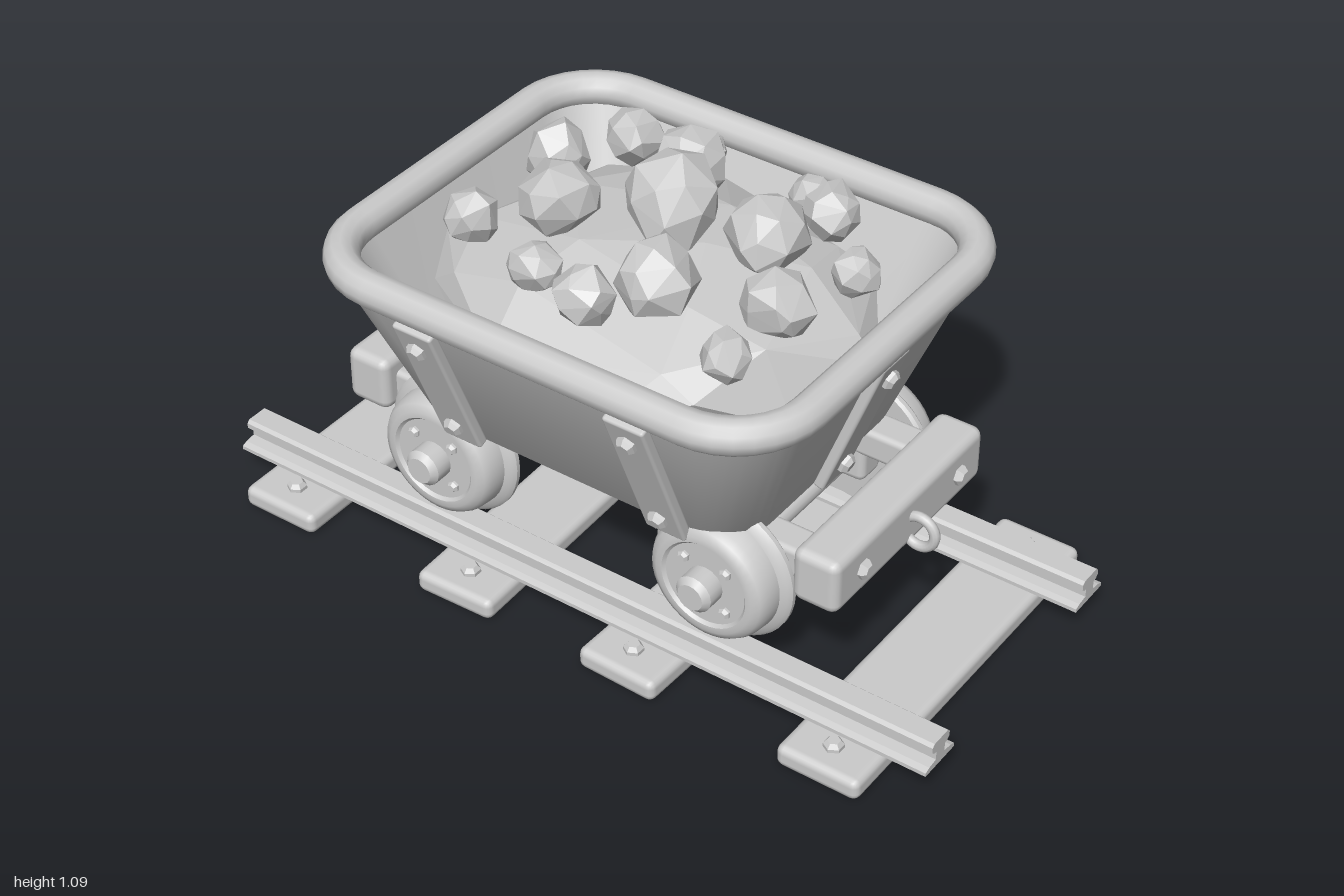
import * as THREE from 'three';
import { toCreasedNormals } from 'three/addons/utils/BufferGeometryUtils.js';
import { RoundedBoxGeometry } from 'three/addons/geometries/RoundedBoxGeometry.js';
import { ConvexGeometry } from 'three/addons/geometries/ConvexGeometry.js';

const smooth = new THREE.MeshStandardMaterial({ color: 0xcccccc });
const faceted = new THREE.MeshStandardMaterial({ color: 0xcccccc, flatShading: true });

let seed = 7;
const rand = () => (seed = (seed * 16807) % 2147483647) / 2147483647;

function add(parent, name, geometry, x = 0, y = 0, z = 0, material = smooth) {
  const mesh = new THREE.Mesh(geometry, material);
  mesh.name = name;
  mesh.position.set(x, y, z);
  parent.add(mesh);
  return mesh;
}
const box = (w, h, d, r) => new RoundedBoxGeometry(w, h, d, 2, r);
const lathe = (pts, sides) => toCreasedNormals(
  new THREE.LatheGeometry(pts.map(p => new THREE.Vector2(...p)), sides), 0.6);

// Horizontal rounded rectangle
function ring([hx, hz, r, y]) {
  const pts = [], n = 8;
  for (let c = 0; c < 4; c++) {
    const sx = c === 0 || c === 3 ? 1 : -1, sz = c < 2 ? 1 : -1;
    for (let i = 0; i <= n; i++) {
      const a = (c + i / n) * Math.PI / 2;
      pts.push([sx * (hx - r) + r * Math.cos(a), y, sz * (hz - r) + r * Math.sin(a)]);
    }
  }
  return pts;
}

// Skin between successive rounded rectangles
function loft(sections, crease) {
  const rings = sections.map(ring), n = rings[0].length, index = [];
  for (let i = 0; i < rings.length - 1; i++) {
    for (let j = 0; j < n; j++) {
      const a = i * n + j, b = i * n + (j + 1) % n;
      index.push(a, a + n, b, b, a + n, b + n);
    }
  }
  const g = new THREE.BufferGeometry();
  g.setAttribute('position', new THREE.Float32BufferAttribute(rings.flat(2), 3));
  g.setIndex(index);
  return toCreasedNormals(g, crease);
}

// Convex lump from jittered, evenly spread directions
function lump(count, jitter, sx, sy, sz) {
  const pts = [];
  for (let i = 0; i < count; i++) {
    const y = 1 - 2 * (i + 0.5) / count, q = Math.sqrt(1 - y * y);
    const a = i * 2.39996 + (rand() - 0.5) * 0.6, k = 1 - jitter * rand();
    pts.push(new THREE.Vector3(Math.cos(a) * q * k * sx, y * k * sy, Math.sin(a) * q * k * sz));
  }
  return new ConvexGeometry(pts);
}

const boltGeo = lathe([[0, 0], [0.025, 0], [0.025, 0.01], [0.016, 0.021], [0, 0.021]], 6);

function buildTrack() {
  const g = new THREE.Group();
  g.name = 'track';
  // Sleepers with spikes
  [[-0.795, 0], [-0.262, 0.03], [0.243, -0.03], [0.78, 0]].forEach(([x, yaw]) => {
    const tie = new THREE.Group();
    tie.name = 'sleeper';
    tie.position.x = x;
    tie.rotation.y = yaw;
    add(tie, 'sleeperBeam', box(0.218, 0.058, 1, 0.02), 0, 0.029, 0);
    for (const s of [-1, 1]) add(tie, 'spike', boltGeo, 0, 0.057, s * 0.425);
    g.add(tie);
  });
  // Rails: flat foot, web and bevelled head
  const half = [[0.06, 0.065], [0.06, 0.075], [0.045, 0.081], [0.018, 0.085], [0.018, 0.108],
    [0.028, 0.11], [0.036, 0.117], [0.036, 0.131], [0.028, 0.139]];
  const outline = [...half, ...half.map(([x, y]) => [-x, y]).reverse()];
  const shape = new THREE.Shape(outline.map(p => new THREE.Vector2(...p)));
  for (const s of [-1, 1]) {
    const rail = add(g, 'rail', new THREE.ExtrudeGeometry(shape, { depth: 2, bevelEnabled: false }), -1, 0, s * 0.335);
    rail.rotation.y = Math.PI / 2;
  }
  return g;
}

function buildWheel() {
  const g = new THREE.Group();
  g.name = 'wheel';
  const disc = lathe([[0, 0.275], [0.18, 0.275], [0.187, 0.282], [0.187, 0.293], [0.178, 0.303],
    [0.162, 0.31], [0.158, 0.35], [0.148, 0.368], [0.13, 0.378], [0.115, 0.378], [0.108, 0.37], [0, 0.37]], 40);
  const hub = lathe([[0, 0.36], [0.048, 0.36], [0.048, 0.415], [0.034, 0.43], [0, 0.43]], 16);
  add(g, 'wheelDisc', disc).rotation.x = Math.PI / 2;
  add(g, 'hubCap', hub).rotation.x = Math.PI / 2;
  for (let i = 0; i < 4; i++) {
    const a = Math.PI / 4 + i * Math.PI / 2;
    const b = add(g, 'wheelBolt', boltGeo, 0.08 * Math.cos(a), 0.08 * Math.sin(a), 0.368);
    b.rotation.x = Math.PI / 2;
    b.scale.set(0.6, 0.8, 0.6);
  }
  return g;
}

function buildChassis() {
  const g = new THREE.Group();
  g.name = 'chassis';
  for (const s of [-1, 1]) {
    add(g, 'sideSill', box(1.2, 0.08, 0.09, 0.015), 0, 0.375, s * 0.23);
    // Axle, bearings and wheels
    add(g, 'axle', new THREE.CylinderGeometry(0.03, 0.03, 0.6, 16), s * 0.39, 0.3, 0).rotation.x = Math.PI / 2;
    for (const t of [-1, 1]) {
      add(g, 'axleBox', box(0.13, 0.11, 0.085, 0.02), s * 0.39, 0.305, t * 0.23);
      const wheel = buildWheel();
      wheel.position.set(s * 0.39, 0.3, 0);
      if (t < 0) wheel.rotation.y = Math.PI;
      g.add(wheel);
    }
    // Buffer beam with bolts and coupling ring
    add(g, 'bufferBeam', box(0.122, 0.145, 0.63, 0.025), s * 0.641, 0.386, 0);
    for (const t of [-1, 1]) {
      add(g, 'beamBolt', boltGeo, s * 0.7, 0.385, t * 0.205).rotation.z = -s * Math.PI / 2;
    }
    add(g, 'couplingRing', new THREE.TorusGeometry(0.041, 0.013, 10, 28), s * 0.723, 0.364, 0);
  }
  return g;
}

// Sloping strap with two bolts, facing +z at the given wall offsets
function buildStrap(low, high) {
  const g = new THREE.Group();
  g.name = 'strap';
  const tilt = Math.atan2(high - low, 0.42);
  g.position.set(0, 0.617, (low + high) / 2);
  g.rotation.x = tilt;
  const c = Math.cos(tilt);
  add(g, 'strapPlate', box(0.11, 0.405 / c, 0.03, 0.008), 0, 0, 0.007);
  for (const y of [0.76, 0.478]) add(g, 'strapBolt', boltGeo, 0, (y - 0.617) / c, 0.021).rotation.x = Math.PI / 2;
  return g;
}

function buildTub() {
  const g = new THREE.Group();
  g.name = 'tub';
  add(g, 'tubShell', loft([
    [0, 0, 0, 0.405], [0.455, 0.345, 0.12, 0.405], [0.47, 0.36, 0.13, 0.42], [0.625, 0.53, 0.2, 0.84],
    [0.585, 0.49, 0.17, 0.84], [0.44, 0.33, 0.11, 0.45], [0, 0, 0, 0.45]], 0.7));
  // Rolled rim
  const rim = [];
  for (let i = 0; i <= 12; i++) {
    const a = i * Math.PI / 6, d = 0.044 * Math.cos(a);
    rim.push([0.617 + d, 0.511 + d, 0.19 + d, 0.854 + 0.044 * Math.sin(a)]);
  }
  add(g, 'rim', loft(rim, 1));
  // Straps: two on each long side, one on each end
  for (const turn of [0, 2]) for (const x of [-0.29, 0.29]) {
    const side = new THREE.Group();
    side.name = 'sideStrap';
    side.rotation.y = turn * Math.PI / 2;
    const strap = buildStrap(0.36, 0.53);
    strap.position.x = x;
    side.add(strap);
    g.add(side);
  }
  for (const turn of [1, 3]) {
    const end = new THREE.Group();
    end.name = 'endStrap';
    end.rotation.y = turn * Math.PI / 2;
    end.add(buildStrap(0.47, 0.625));
    g.add(end);
  }
  return g;
}

function buildLoad() {
  const g = new THREE.Group();
  g.name = 'load';
  add(g, 'loadBed', lump(44, 0.06, 0.575, 0.19, 0.465), 0, 0.72, 0, faceted);
  // Lumps: x, z, radius, top height
  const rocks = [[-0.13, -0.36, 0.065, 0.94], [0.165, -0.37, 0.06, 0.92], [-0.26, -0.26, 0.078, 1.0],
    [0.3, -0.26, 0.078, 1.0], [-0.07, -0.215, 0.098, 1.04], [-0.37, -0.11, 0.09, 1.0],
    [0.225, -0.1, 0.107, 1.03], [0.435, -0.15, 0.068, 0.94], [0.015, -0.035, 0.125, 1.09],
    [-0.225, 0.08, 0.108, 1.05], [0.37, 0.07, 0.095, 0.98], [0.12, 0.18, 0.107, 1.02],
    [-0.405, 0.18, 0.075, 0.95], [-0.15, 0.27, 0.068, 0.96], [0.015, 0.31, 0.08, 0.98], [0.37, 0.27, 0.067, 0.93]];
  for (const [x, z, r, top] of rocks) {
    const rock = add(g, 'rock', lump(24, 0.2, r * 1.06, r * 1.05, r * 0.98), x, top - r * 0.95, z, faceted);
    rock.rotation.set(rand() * 0.6, rand() * 6.28, rand() * 0.6);
  }
  return g;
}

export function createModel() {
  const model = new THREE.Group();
  model.name = 'mineCart';
  model.add(buildTrack(), buildChassis(), buildTub(), buildLoad());
  return model;
}
